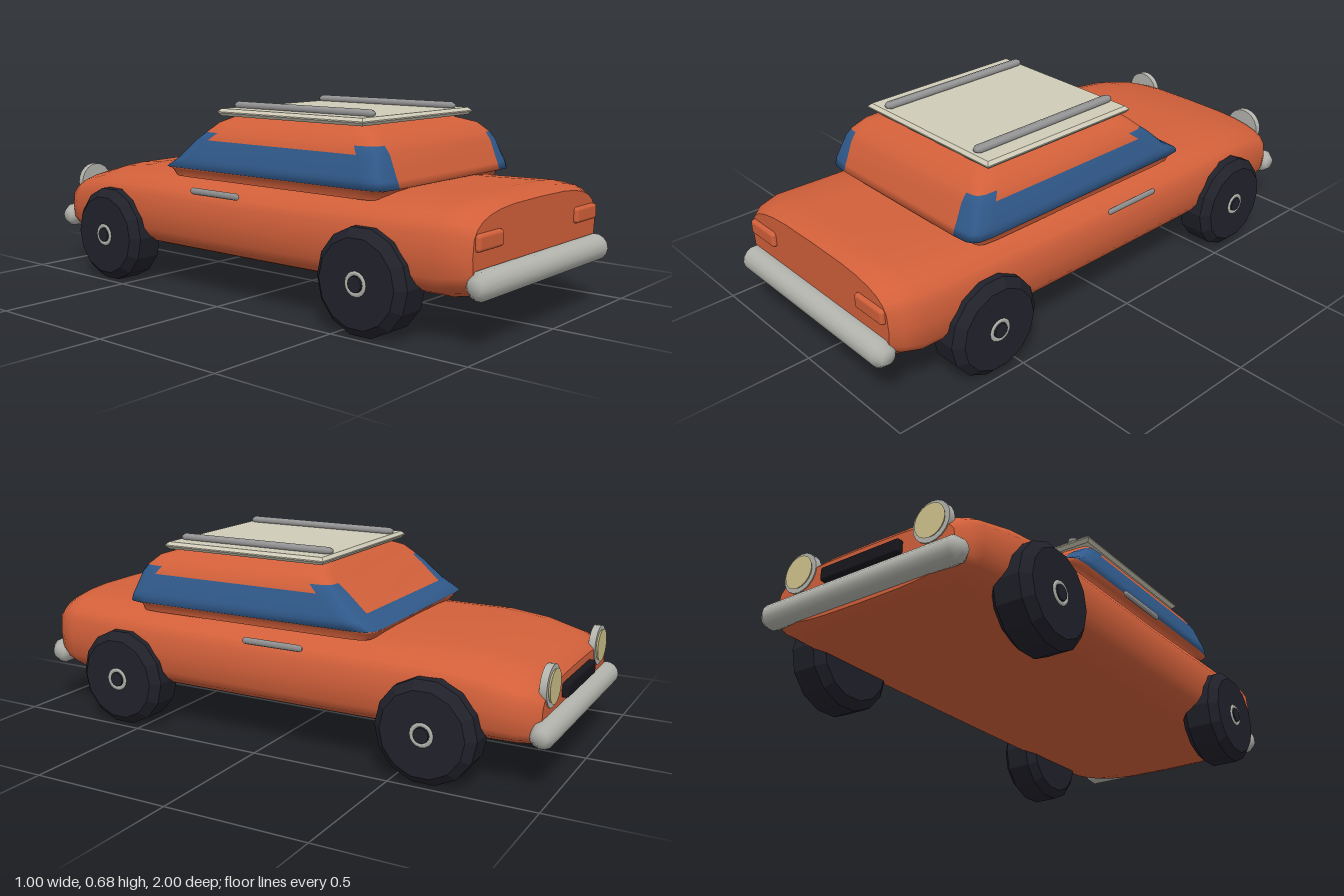
import * as THREE from 'three';
import { RoundedBoxGeometry } from 'three/addons/geometries/RoundedBoxGeometry.js';

const paint = (name, color) => Object.assign(new THREE.MeshStandardMaterial({ color }), { name });

// Skin a stack of closed rings, with flat end caps.
// isSecond(row, column) puts a quad in the second material group.
function loft(rings, isSecond = () => false) {
  const n = rings[0].length, pos = rings.flat(2), first = [], second = [];
  for (let i = 0; i < rings.length - 1; i++) {
    for (let j = 0; j < n; j++) {
      const k = (j + 1) % n, a = i * n + j, b = i * n + k, c = b + n, d = a + n;
      (isSecond(i, j) ? second : first).push(a, b, c, a, c, d);
    }
  }
  [rings[0], rings[rings.length - 1]].forEach((ring, end) => {
    const base = pos.length / 3;
    const centre = [0, 1, 2].map(axis => ring.reduce((s, p) => s + p[axis], 0) / n);
    pos.push(...ring.flat(), ...centre);
    for (let j = 0; j < n; j++) {
      const a = base + j, b = base + (j + 1) % n;
      first.push(base + n, ...(end ? [a, b] : [b, a]));
    }
  });
  const g = new THREE.BufferGeometry();
  g.setAttribute('position', new THREE.Float32BufferAttribute(pos, 3));
  g.setIndex([...first, ...second]);
  g.addGroup(0, first.length, 0);
  g.addGroup(first.length, second.length, 1);
  g.computeVertexNormals();
  return g;
}

// Bar turned on a lathe, with chamfered ends, lying along y
function bar(length, r, chamfer, sides) {
  const h = length / 2;
  return new THREE.LatheGeometry([[0, -h], [r * 0.55, -h], [r, -h + chamfer], [r, h - chamfer], [r * 0.55, h], [0, h]]
    .map(p => new THREE.Vector2(...p)), sides);
}

export function createModel() {
  const car = new THREE.Group();
  car.name = 'car';
  const orange = paint('orange bodywork', 0xd2603a);
  const blue = paint('blue glass', 0x30598a);
  const cream = paint('cream roof', 0xd0ccb8);
  const chrome = paint('pale chrome', 0xb4b4ae);
  const grey = paint('grey trim', 0x949494);
  const rubber = paint('dark rubber', 0x21212b);
  const black = paint('black grille', 0x17171d);
  const lensColor = paint('yellow lens', 0xd0c48c);

  const add = (name, geometry, material, x = 0, y = 0, z = 0, parent = car) => {
    const mesh = new THREE.Mesh(geometry, material);
    mesh.name = name;
    mesh.position.set(x, y, z);
    parent.add(mesh);
    return mesh;
  };

  // Lower body: z, half width, bottom, top
  const bodyStations = [
    [-0.95, 0.36, 0.145, 0.335], [-0.92, 0.395, 0.13, 0.365], [-0.88, 0.415, 0.127, 0.38],
    [-0.75, 0.43, 0.125, 0.415], [-0.6, 0.442, 0.125, 0.432], [-0.3, 0.445, 0.125, 0.432],
    [0.1, 0.445, 0.125, 0.432], [0.55, 0.445, 0.125, 0.443], [0.84, 0.443, 0.128, 0.45],
    [0.9, 0.42, 0.138, 0.443], [0.94, 0.39, 0.15, 0.425],
  ];
  const round = (v, e) => Math.sign(v) * Math.abs(v) ** e;
  const bodyRings = bodyStations.map(([z, w, lo, hi]) => Array.from({ length: 28 }, (_, i) => {
    const t = i / 28 * Math.PI * 2;
    return [w * round(Math.cos(t), 0.6), (lo + hi) / 2 + (hi - lo) / 2 * round(Math.sin(t), 0.6), z];
  }));
  add('body', loft(bodyRings), orange);

  // Cabin with wraparound windows: y, half width, z of bonnet end, z of boot end
  const cabinLevels = [
    [0.415, 0.37, -0.36, 0.57], [0.44, 0.375, -0.38, 0.58], [0.45, 0.395, -0.39, 0.615],
    [0.475, 0.395, -0.345, 0.607], [0.49, 0.391, -0.322, 0.6], [0.555, 0.37, -0.25, 0.575],
    [0.582, 0.355, -0.215, 0.555], [0.615, 0.325, -0.18, 0.52], [0.638, 0.26, -0.15, 0.45],
  ];
  const cabinRings = cabinLevels.map(([y, w, z0, z1]) => {
    const inner = Math.min(0.3, w - 0.05);
    const corner = (sx, end, dir) => [0, 25, 45, 65, 90].map(deg => {
      const t = deg * Math.PI / 180;
      return [sx * (inner + (w - inner) * round(Math.sin(t), 0.6)), y,
        end + dir * 0.08 * (1 - round(Math.cos(t), 0.6))];
    });
    return [...corner(1, z1, -1), ...corner(1, z0, 1).reverse(),
      ...corner(-1, z0, 1), ...corner(-1, z1, -1).reverse()];
  });
  // Height of the glass over corners, sides, bonnet end and boot end
  const glassTop = j => j % 5 < 4 ? 0.582 : j === 9 ? 0.49 : j === 19 ? 0 : 0.555;
  const isGlass = (i, j) => cabinLevels[i][0] >= 0.45 && cabinLevels[i + 1][0] <= glassTop(j);
  add('cabin', loft(cabinRings, isGlass), [orange, blue]);

  // Roof panel and rails
  const panel = new THREE.Shape([[-0.31, -0.315], [0.31, -0.315], [0.31, 0.315], [-0.31, 0.315]]
    .map(p => new THREE.Vector2(...p)));
  const panelGeometry = new THREE.ExtrudeGeometry(panel,
    { depth: 0.004, bevelThickness: 0.011, bevelSize: 0.011, bevelSegments: 1 });
  add('roofPanel', panelGeometry.rotateX(-Math.PI / 2), cream, 0, 0.65, 0.157);
  const rail = bar(0.62, 0.019, 0.012, 8).rotateX(Math.PI / 2).scale(1, 0.7, 1);

  // Door handles
  const handle = bar(0.23, 0.012, 0.008, 8).rotateX(Math.PI / 2).scale(0.6, 1, 1);

  // Lamps
  const tailLamp = new RoundedBoxGeometry(0.143, 0.054, 0.03, 2, 0.012);
  const rim = new THREE.CylinderGeometry(0.07, 0.07, 0.024, 20).rotateX(Math.PI / 2);
  const lens = new THREE.CylinderGeometry(0.058, 0.052, 0.009, 20).rotateX(Math.PI / 2).rotateY(Math.PI);
  lens.rotateZ(Math.PI);

  // Wheel pieces, turned around x
  const tyre = new THREE.LatheGeometry([[0, -0.075], [0.145, -0.075], [0.175, -0.047], [0.175, 0.047], [0.145, 0.075], [0, 0.075]]
    .map(p => new THREE.Vector2(...p)), 14).toNonIndexed().rotateZ(-Math.PI / 2);
  tyre.computeVertexNormals();
  const hub = new THREE.CylinderGeometry(0.026, 0.026, 0.02, 12).rotateZ(Math.PI / 2);
  const hubRing = new THREE.TorusGeometry(0.034, 0.01, 6, 16).rotateY(Math.PI / 2);

  for (const s of [1, -1]) {
    const side = s > 0 ? 'left' : 'right';
    add(side + 'RoofRail', rail, grey, s * 0.236, 0.674, 0.153);
    add(side + 'DoorHandle', handle, grey, s * 0.457, 0.386, -0.05);
    add(side + 'TailLamp', tailLamp, orange, s * 0.305, 0.332, 0.94);
    add(side + 'HeadlampRim', rim, chrome, s * 0.27, 0.33, -0.942);
    add(side + 'HeadlampLens', lens, lensColor, s * 0.27, 0.33, -0.957);
    for (const [end, z] of [['Bonnet', -0.61], ['Boot', 0.59]]) {
      const wheel = new THREE.Group();
      wheel.name = side + end + 'Wheel';
      wheel.position.set(s * 0.416, 0.178, z);
      add('tyre', tyre, rubber, 0, 0, 0, wheel);
      add('hub', hub, rubber, s * 0.072, 0, 0, wheel);
      add('hubRing', hubRing, chrome, s * 0.07, 0, 0, wheel);
      car.add(wheel);
    }
  }

  // Bumpers and grille
  add('bootBumper', bar(0.8, 0.046, 0.025, 14).rotateZ(Math.PI / 2), chrome, 0, 0.207, 0.954);
  add('bonnetBumper', bar(0.8, 0.043, 0.025, 14).rotateZ(Math.PI / 2), chrome, 0, 0.2, -0.957);
  add('grille', new RoundedBoxGeometry(0.32, 0.048, 0.03, 2, 0.008), black, 0, 0.283, -0.957);

  return car;
}
